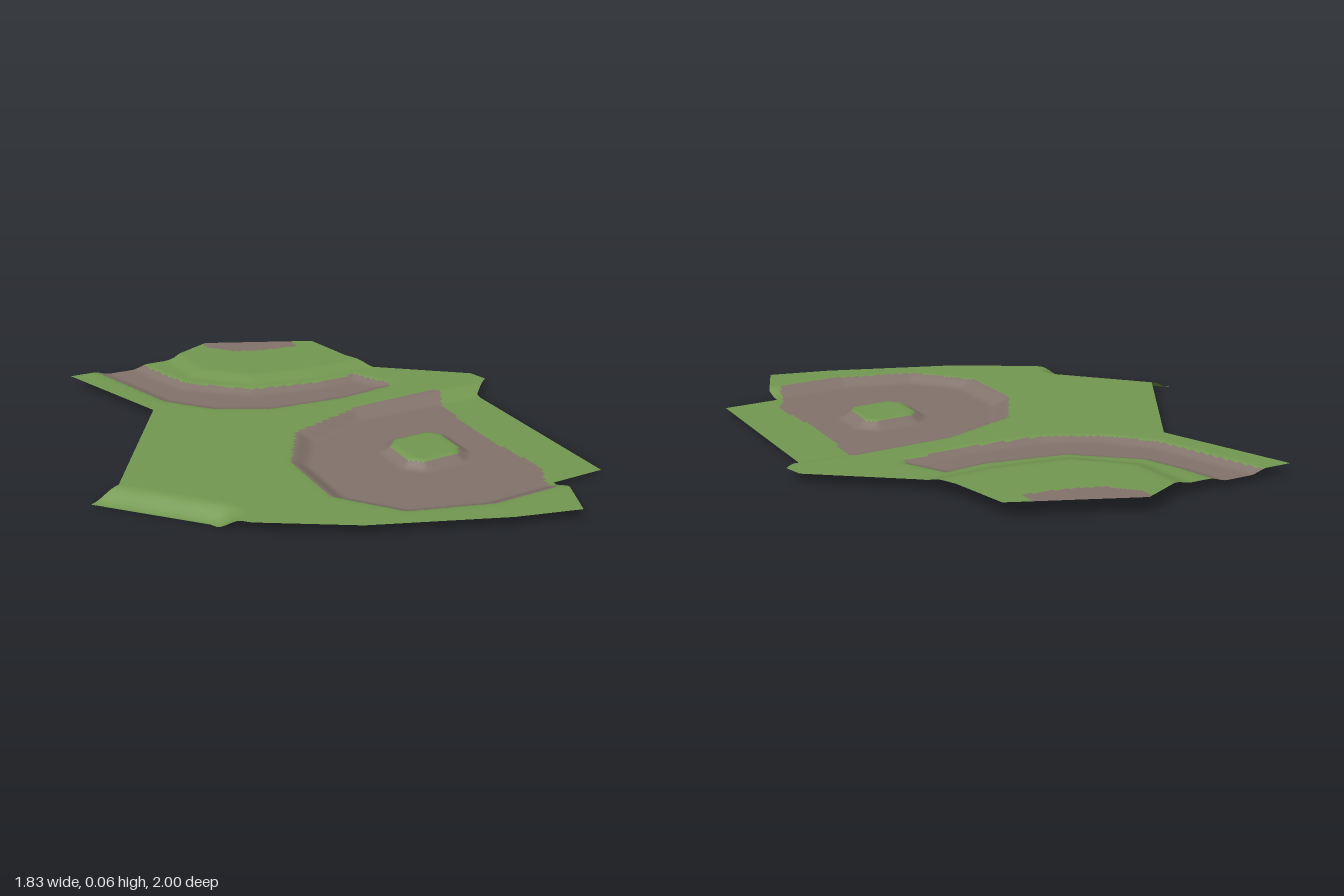
import * as THREE from 'three';

// Plan polygons as [x, z] points
const outline = [[-.63, -.955], [-.17, -.925], [.015, -1], [.45, -.8], [.5, -.58], [.56, -.445], [.895, -.185],
  [.915, -.11], [.825, -.035], [.84, .745], [.62, .745], [.625, .815], [.55, 1], [.31, .935], [-.175, .745],
  [-.5, .55], [-.58, .47], [-.6, .43], [-.915, .1], [-.8, .08], [-.45, -.465]];
const basinPatch = [[-.175, .21], [-.17, .51], [.005, .725], [.32, .825], [.575, .825], [.6, .72], [.655, .63],
  [.63, .4], [.62, .2], [.645, -.035], [.68, -.09], [.655, -.11], [.28, -.11], [-.04, -.015]];
const pathPatch = [[-.51, -1.05], [-.51, -.94], [-.375, -.53], [-.23, -.37], [-.02, -.26], [.295, -.22], [.52, -.24],
  [.535, -.265], [.45, -.42], [.295, -.41], [-.005, -.475], [-.22, -.66], [-.27, -.79], [-.31, -.94], [-.31, -1.05]];
const backPatch = [[-.005, -1.05], [0, -.95], [.085, -.85], [.215, -.8], [.365, -.775], [.37, -1]];
const mound = [[.27, .21], [.415, .21], [.455, .25], [.455, .38], [.415, .425], [.27, .425], [.23, .38], [.23, .25]];

// Height regions
const basin = [[-.18, .2], [-.18, .52], [0, .735], [.3, .83], [.59, .83], [.62, .86], [1.1, .9], [1.1, -.07],
  [.7, -.1], [.26, -.12], [-.04, -.02]];
const plateau = [[-.23, -1.2], [-.2, -.7], [0, -.5], [.3, -.44], [.56, -.44], [1.1, -.44], [1.1, -1.2]];

function segmentDistance(x, z, [ax, az], [bx, bz]) {
  const dx = bx - ax, dz = bz - az;
  const t = THREE.MathUtils.clamp(((x - ax) * dx + (z - az) * dz) / (dx * dx + dz * dz), 0, 1);
  return Math.hypot(x - ax - t * dx, z - az - t * dz);
}

// Distance to the polygon's edge, positive inside
function inset(poly, x, z) {
  let inside = false, best = Infinity;
  poly.forEach((a, i) => {
    const b = poly[(i + 1) % poly.length];
    if ((a[1] > z) !== (b[1] > z) && x < a[0] + (z - a[1]) * (b[0] - a[0]) / (b[1] - a[1])) inside = !inside;
    best = Math.min(best, segmentDistance(x, z, a, b));
  });
  return inside ? best : -best;
}

const ramp = (d, width) => THREE.MathUtils.smoothstep(d, 0, width);

function height(x, z) {
  let y = .042;
  y -= .032 * ramp(inset(basin, x, z), .08);
  y += .03 * ramp(inset(mound, x, z) + .045, .06);
  y -= .017 * ramp(inset(pathPatch, x, z) + .02, .07);
  y += .018 * ramp(inset(plateau, x, z), .09);
  y -= .042 * (1 - ramp(segmentDistance(x, z, [-.915, .1], [-.59, .45]), .1));
  return y;
}

const isEarth = (x, z) => (inset(basinPatch, x, z) > 0 && inset(mound, x, z) < 0)
  || inset(pathPatch, x, z) > 0 || inset(backPatch, x, z) > 0;

// Keep the side of a polygon where sign * (coordinate - limit) >= 0
function clip(poly, axis, limit, sign) {
  const out = [];
  poly.forEach((a, i) => {
    const b = poly[(i + 1) % poly.length];
    const da = sign * (a[axis] - limit), db = sign * (b[axis] - limit);
    if (da >= 0) out.push(a);
    if (da * db < 0) {
      const t = da / (da - db);
      out.push([a[0] + t * (b[0] - a[0]), a[1] + t * (b[1] - a[1])]);
    }
  });
  return out;
}

function surface(triangles) {
  const position = [], normal = [], e = .012;
  const n = new THREE.Vector3();
  for (const [x, z] of triangles) {
    position.push(x, height(x, z), z);
    n.set(height(x - e, z) - height(x + e, z), 2 * e, height(x, z - e) - height(x, z + e)).normalize();
    normal.push(n.x, n.y, n.z);
  }
  const g = new THREE.BufferGeometry();
  g.setAttribute('position', new THREE.Float32BufferAttribute(position, 3));
  g.setAttribute('normal', new THREE.Float32BufferAttribute(normal, 3));
  return g;
}

export function createModel() {
  const grassMaterial = new THREE.MeshStandardMaterial({ color: 0x739851, side: THREE.DoubleSide });
  grassMaterial.name = 'grass green';
  const earthMaterial = new THREE.MeshStandardMaterial({ color: 0x83746c, side: THREE.DoubleSide });
  earthMaterial.name = 'earth brown';

  // Cut the outline into small square cells and sort them by ground cover
  const grass = [], earth = [], cell = .0125;
  for (let x = -.925; x < .925; x += cell) {
    const strip = clip(clip(outline, 0, x, 1), 0, x + cell, -1);
    for (let z = -1; z < 1; z += cell) {
      const piece = clip(clip(strip, 1, z, 1), 1, z + cell, -1);
      if (piece.length < 3) continue;
      const points = piece.map(p => new THREE.Vector2(...p));
      const target = isEarth(x + cell / 2, z + cell / 2) ? earth : grass;
      for (const [i, j, k] of THREE.ShapeUtils.triangulateShape(points, [])) {
        const [a, b, c] = [piece[i], piece[j], piece[k]];
        const area = (b[0] - a[0]) * (c[1] - a[1]) - (b[1] - a[1]) * (c[0] - a[0]);
        if (Math.abs(area) < 1e-9) continue;
        target.push(...(area < 0 ? [a, b, c] : [a, c, b]));
      }
    }
  }

  const group = new THREE.Group();
  group.name = 'terrain';
  for (const [name, triangles, material] of [['grassGround', grass, grassMaterial], ['earthGround', earth, earthMaterial]]) {
    const mesh = new THREE.Mesh(surface(triangles), material);
    mesh.name = name;
    group.add(mesh);
  }
  return group;
}
